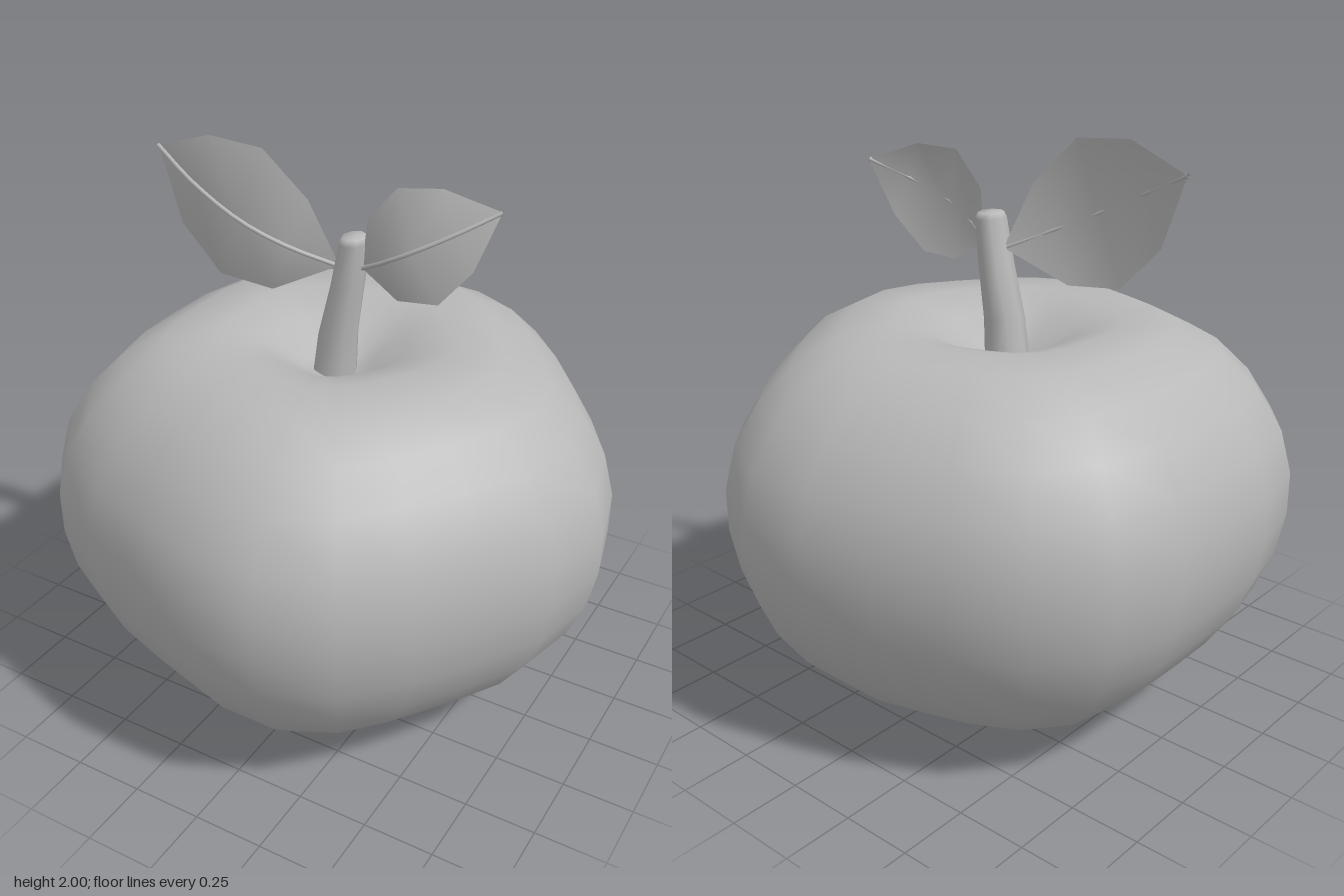
import * as THREE from 'three';
import { mergeVertices } from 'three/addons/utils/BufferGeometryUtils.js';

const CX = -0.035; // core of the fruit

// Builds a surface through rows of 3D points; each row has the same length.
function loft(rows, closed) {
  const n = rows[0].length, index = [];
  for (let i = 0; i < rows.length - 1; i++) {
    for (let j = 0; j < (closed ? n : n - 1); j++) {
      const k = (j + 1) % n;
      const a = i * n + j, b = i * n + k, c = a + n, d = b + n;
      index.push(a, c, b, b, c, d);
    }
  }
  const g = new THREE.BufferGeometry();
  g.setAttribute('position', new THREE.Float32BufferAttribute(rows.flat(2), 3));
  g.setIndex(index);
  const merged = mergeVertices(g, 1e-5);
  merged.computeVertexNormals();
  return merged;
}

// Lathed fruit with five soft lobes, dimpled at both ends
function fruitGeometry() {
  const profile = [
    [0, 0.08], [0.18, 0.045], [0.345, 0], [0.505, 0.07], [0.675, 0.165], [0.805, 0.29],
    [0.905, 0.43], [0.965, 0.57], [0.995, 0.72], [0.995, 0.87], [0.955, 1.02],
    [0.865, 1.16], [0.745, 1.275], [0.585, 1.355], [0.405, 1.365], [0.25, 1.32],
    [0.12, 1.235], [0, 1.2],
  ].map(([r, y]) => new THREE.Vector2(r, y));
  const lathe = new THREE.LatheGeometry(profile, 24);
  lathe.deleteAttribute('uv');
  lathe.deleteAttribute('normal');
  const g = mergeVertices(lathe, 1e-4);
  const p = g.attributes.position;
  for (let i = 0; i < p.count; i++) {
    const x = p.getX(i), z = p.getZ(i);
    const s = 0.963 + 0.037 * Math.cos(5 * Math.atan2(z, x));
    p.setXYZ(i, x * s + CX, p.getY(i), z * s);
  }
  g.computeVertexNormals();
  return g;
}

// Leaning, tapered stem: each section is [x, y, radius in x, radius in z]
function stemGeometry() {
  const sections = [
    [-0.05, 1.2, 0.08, 0.075], [-0.035, 1.365, 0.07, 0.07], [0.002, 1.55, 0.056, 0.066],
    [0.025, 1.7, 0.047, 0.06], [0.026, 1.72, 0.04, 0.05], [0.026, 1.722, 0, 0],
  ];
  return loft(sections.map(([x, y, rx, rz]) =>
    Array.from({ length: 8 }, (_, j) => {
      const a = (j / 8) * Math.PI * 2;
      return [x + rx * Math.cos(a), y, rz * Math.sin(a)];
    })), true);
}

// Leaf blade folded gently about its rib, with a raised rib on the front
function makeLeaf(name, { upper, rib, lower }, bladeMat, ribMat) {
  const leaf = new THREE.Group();
  leaf.name = name;
  const blade = new THREE.Mesh(loft(rib.map((r, i) => [upper[i], r, lower[i]]), false), bladeMat);
  blade.name = name + 'Blade';
  const curve = new THREE.CatmullRomCurve3(
    rib.map(([x, y, z]) => new THREE.Vector3(x, y, z + 0.004)));
  const vein = new THREE.Mesh(new THREE.TubeGeometry(curve, 12, 0.008, 6), ribMat);
  vein.name = name + 'Rib';
  leaf.add(blade, vein);
  return leaf;
}

export function createModel() {
  const grey = new THREE.MeshStandardMaterial({ color: 0xb8b8b8, side: THREE.DoubleSide });
  grey.name = 'plain grey';

  const model = new THREE.Group();
  model.name = 'fruit';

  const body = new THREE.Mesh(fruitGeometry(), grey);
  body.name = 'fruitBody';
  const stem = new THREE.Mesh(stemGeometry(), grey);
  stem.name = 'stem';
  model.add(body, stem);

  // Large leaf on the model's right
  const baseR = [-0.03, 1.605, 0], tipR = [-0.705, 1.92, 0.05];
  model.add(makeLeaf('rightLeaf', {
    upper: [baseR, [-0.12, 1.83, 0.045], [-0.27, 1.985, 0.075], [-0.47, 2.0, 0.085], tipR],
    rib: [baseR, [-0.18, 1.675, 0.085], [-0.33, 1.745, 0.125], [-0.52, 1.835, 0.11], tipR],
    lower: [baseR, [-0.25, 1.5, 0.07], [-0.45, 1.52, 0.085], [-0.6, 1.675, 0.085], tipR],
  }, grey, grey));

  // Small leaf on the model's left
  const baseL = [0.055, 1.615, 0], tipL = [0.495, 1.855, -0.105];
  model.add(makeLeaf('leftLeaf', {
    upper: [baseL, [0.08, 1.79, 0.01], [0.18, 1.91, 0], [0.32, 1.92, -0.04], tipL],
    rib: [baseL, [0.14, 1.66, 0.03], [0.25, 1.72, 0.035], [0.38, 1.79, -0.02], tipL],
    lower: [baseL, [0.19, 1.53, 0.005], [0.33, 1.54, -0.01], [0.43, 1.66, -0.05], tipL],
  }, grey, grey));

  return model;
}
